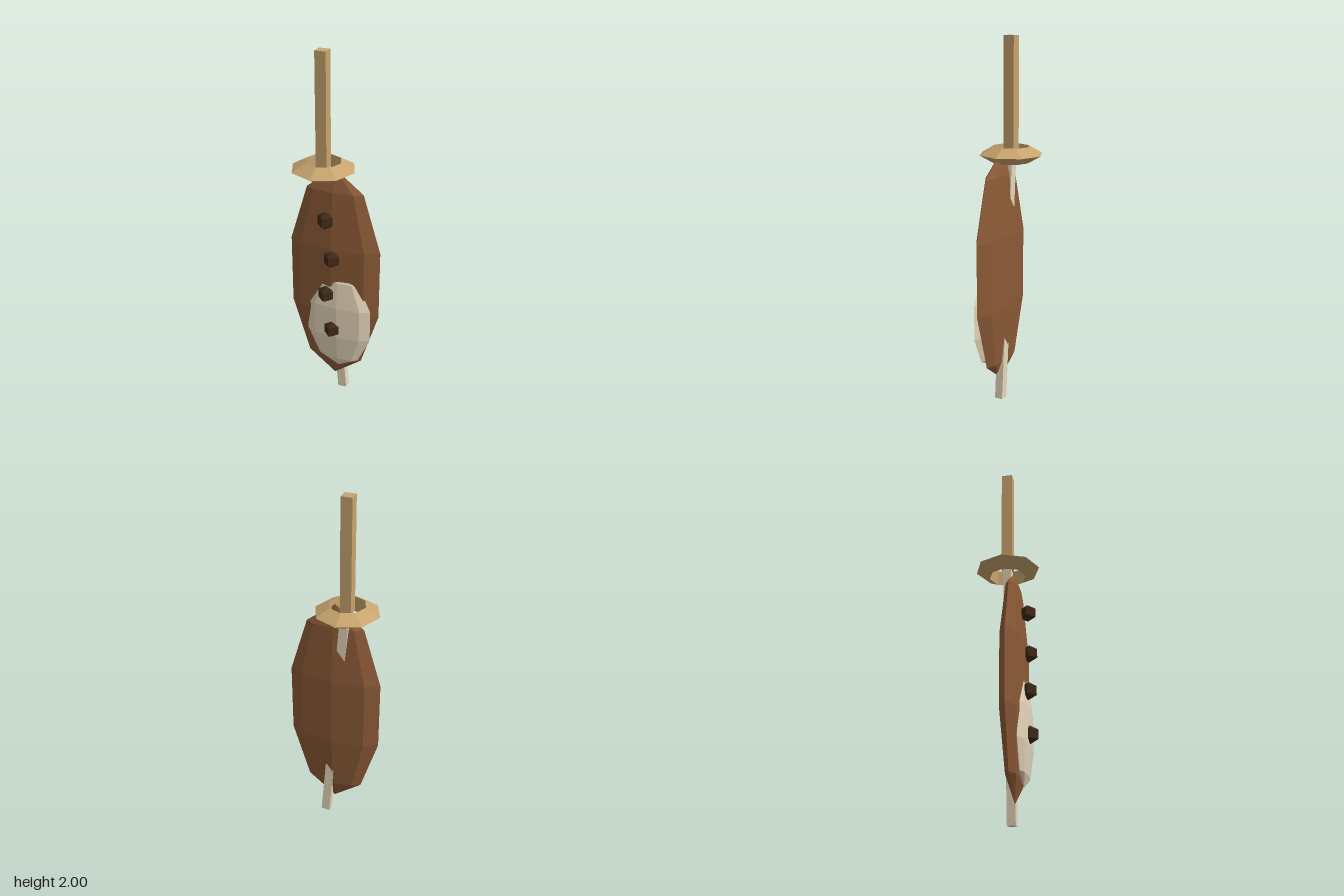
import * as THREE from 'three';

const flat = (color, name) => {
  const m = new THREE.MeshStandardMaterial({ color, flatShading: true });
  m.name = name;
  return m;
};

export function createModel() {
  const brown = flat(0x8b5a36, 'brown');
  const cream = flat(0xe6d6ba, 'cream');
  const tan = flat(0xc8a46e, 'tan');
  const dark = flat(0x3e2818, 'dark brown');

  const group = new THREE.Group();
  const add = (name, geometry, material, x, y, z) => {
    const mesh = new THREE.Mesh(geometry, material);
    mesh.name = name;
    mesh.position.set(x, y, z);
    group.add(mesh);
    return mesh;
  };
  // low-poly flattened ball
  const blob = (rx, ry, rz) => new THREE.SphereGeometry(1, 8, 5).scale(rx, ry, rz);

  // main body and the pale patch on its front
  add('body', blob(0.273, 0.65, 0.066), brown, 0, 0.75, 0.023);
  add('patch', blob(0.197, 0.31, 0.041), cream, 0.0375, 0.5, 0.062);

  // four studs, alternating from side to side
  for (let i = 0; i < 4; i++) {
    add('stud' + (i + 1), new THREE.SphereGeometry(0.05, 4, 3), dark,
      i % 2 ? 0.01 : -0.025, 1.13 - i * 0.225, 0.1);
  }

  // slanted inner bar, poking out at the bottom and behind the neck
  const bar = add('innerBar', new THREE.BoxGeometry(0.05, 1.4, 0.045), cream, -0.013, 0.702, 0);
  bar.rotation.z = 0.083;

  // guard ring with a triangular section
  const ring = add('guardRing', new THREE.TorusGeometry(0.125, 0.05, 3, 8), tan, -0.075, 1.38, 0);
  ring.rotation.x = Math.PI / 2;

  // handle
  add('handle', new THREE.BoxGeometry(0.06, 0.62, 0.06), tan, -0.075, 1.69, 0);

  return group;
}
